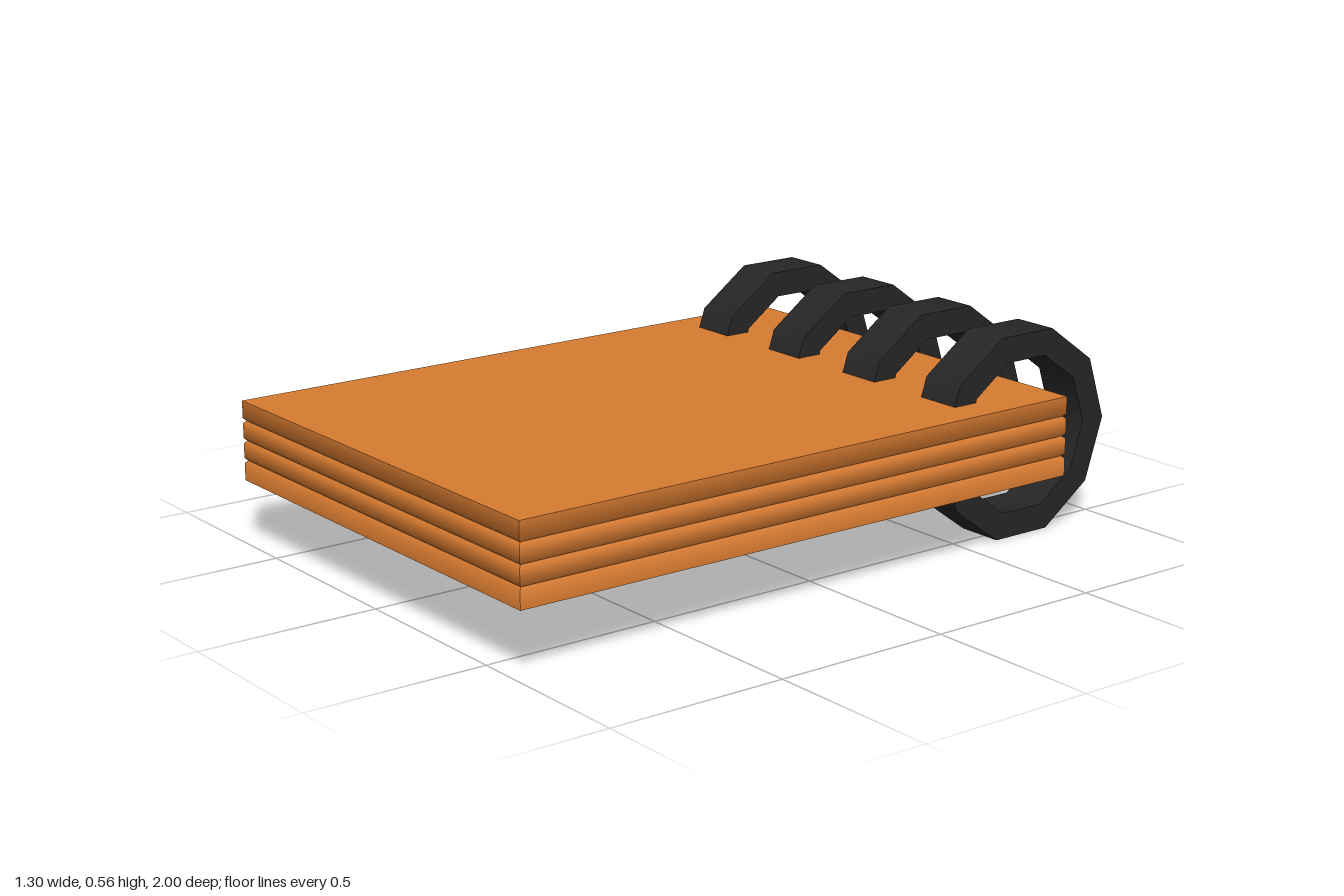
import * as THREE from 'three';
import { toCreasedNormals } from 'three/addons/utils/BufferGeometryUtils.js';

const orange = new THREE.MeshStandardMaterial({ color: 0xd67a30 });
orange.name = 'orange board';
const black = new THREE.MeshStandardMaterial({ color: 0x262626 });
black.name = 'black ring';

const HALF_W = 0.65, FRONT = 1, BACK = -0.76;
const BOTTOM = 0.18, SHEET = 0.055, COUNT = 4, BEVEL = 0.007;

// Corners of a sheet outline, counter-clockwise seen from above
function outline(inset) {
  const x = HALF_W - inset, f = FRONT - inset, b = BACK + inset;
  return [[-x, f], [x, f], [x, b], [-x, b]];
}

// One sheet: softly rounded where it meets a neighbour, sharp at the outer covers
function sheetGeometry(y0, y1, bevelBottom, bevelTop) {
  const rows = []; // [inset, y, normal tilt]
  if (bevelBottom) rows.push([BEVEL, y0, -1], [0, y0 + BEVEL, -0.5]);
  else rows.push([0, y0, 0]);
  if (bevelTop) rows.push([0, y1 - BEVEL, 0.5], [BEVEL, y1, 1]);
  else rows.push([0, y1, 0]);

  const pos = [], nor = [], idx = [];
  const sides = [[0, 1], [1, 0], [0, -1], [-1, 0]]; // outward x, z
  sides.forEach(([nx, nz], s) => {
    const start = pos.length / 3;
    rows.forEach(([inset, y, tilt], r) => {
      const c = outline(inset);
      const n = new THREE.Vector3(nx, tilt, nz).normalize();
      for (const [x, z] of [c[s], c[(s + 1) % 4]]) {
        pos.push(x, y, z);
        nor.push(n.x, n.y, n.z);
      }
      if (r > 0) {
        const a = start + (r - 1) * 2;
        idx.push(a, a + 1, a + 3, a, a + 3, a + 2);
      }
    });
  });

  // Cover faces
  const cap = (y, inset, up) => {
    const a = pos.length / 3;
    for (const [x, z] of outline(inset)) {
      pos.push(x, y, z);
      nor.push(0, up ? 1 : -1, 0);
    }
    if (up) idx.push(a, a + 1, a + 2, a, a + 2, a + 3);
    else idx.push(a, a + 2, a + 1, a, a + 3, a + 2);
  };
  if (!bevelBottom) cap(y0, 0, false);
  if (!bevelTop) cap(y1, 0, true);

  const g = new THREE.BufferGeometry();
  g.setAttribute('position', new THREE.Float32BufferAttribute(pos, 3));
  g.setAttribute('normal', new THREE.Float32BufferAttribute(nor, 3));
  g.setIndex(idx);
  return g;
}

// Ten-sided band with a rectangular section, its axis along x
function ringGeometry() {
  const inner = 0.22, outer = 0.295, h = 0.066;
  const section = [[inner, -h], [outer, -h], [outer, h], [inner, h], [inner, -h]]
    .map(([r, y]) => new THREE.Vector2(r, y));
  const g = new THREE.LatheGeometry(section, 10);
  g.rotateZ(Math.PI / 2);
  return toCreasedNormals(g, THREE.MathUtils.degToRad(45));
}

export function createModel() {
  const group = new THREE.Group();
  group.name = 'ringNotebook';

  // Stack of sheets
  for (let i = 0; i < COUNT; i++) {
    const y = BOTTOM + i * SHEET;
    const mesh = new THREE.Mesh(sheetGeometry(y, y + SHEET, i > 0, i < COUNT - 1), orange);
    mesh.name = i === 0 ? 'backCover' : i === COUNT - 1 ? 'frontCover' : 'page' + i;
    group.add(mesh);
  }

  // Binding rings along the back edge
  const ring = ringGeometry();
  for (let i = 0; i < 4; i++) {
    const mesh = new THREE.Mesh(ring, black);
    mesh.name = 'bindingRing' + (i + 1);
    mesh.position.set(0.002 + (i - 1.5) * 0.321, 0.281, -0.705);
    group.add(mesh);
  }
  return group;
}
